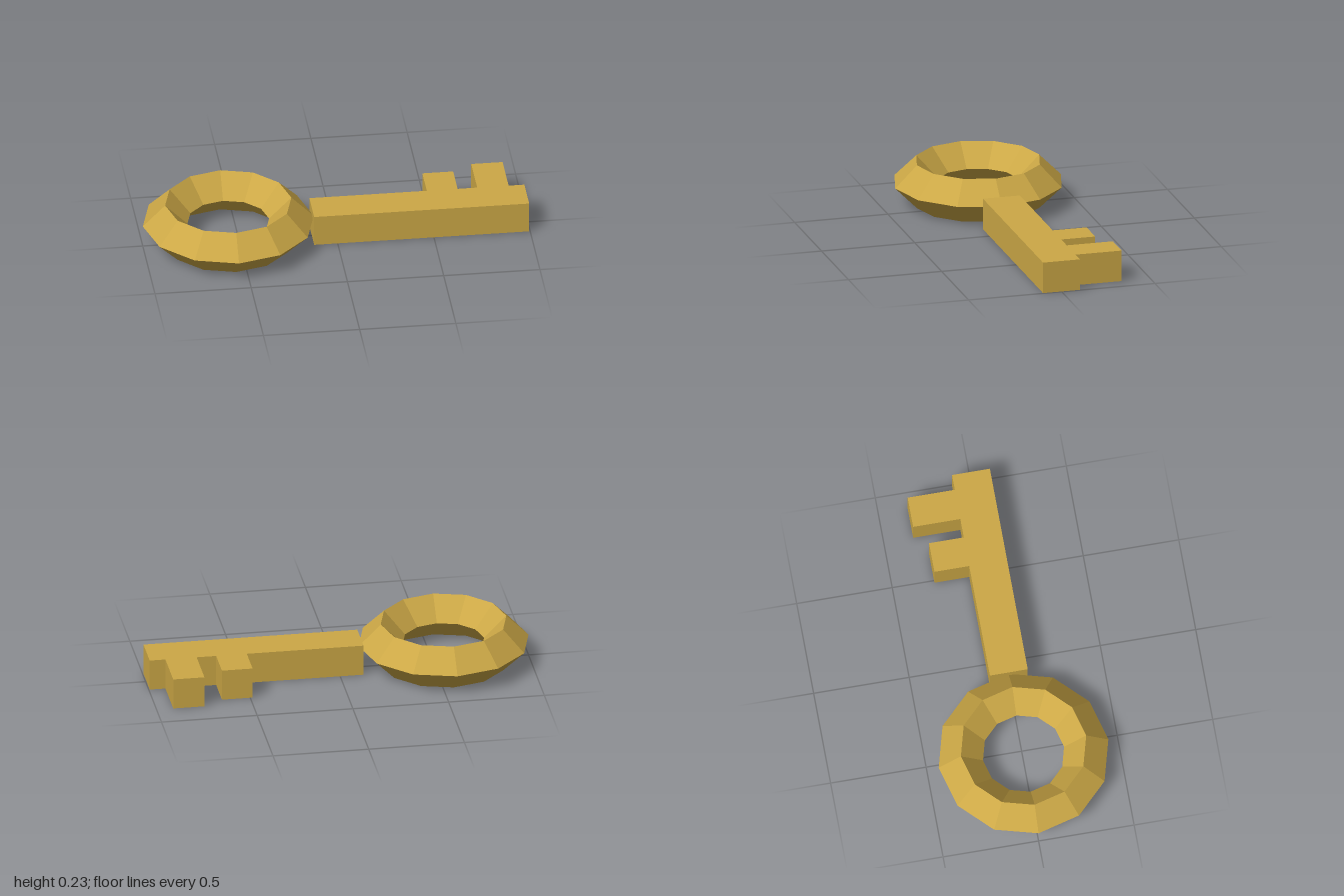
import * as THREE from 'three';

export function createModel() {
  const key = new THREE.Group();
  key.name = 'key';
  const gold = new THREE.MeshStandardMaterial({ color: 0xcca846 });
  gold.name = 'gold';
  gold.flatShading = true;

  // Ring handle: diamond cross-section swept around twelve sides
  const ring = new THREE.Mesh(new THREE.TorusGeometry(0.328, 0.116, 4, 12), gold);
  ring.name = 'ringHandle';
  ring.geometry.rotateX(-Math.PI / 2);
  ring.position.set(-0.556, 0.116, 0);
  key.add(ring);

  // Shaft and its two teeth: one outline, extruded upwards (outline y points to -z)
  const outline = new THREE.Shape([
    [-0.122, -0.099], [0.995, -0.099], [0.995, 0.099],
    [0.913, 0.099], [0.913, 0.346], [0.75, 0.346], [0.75, 0.099],
    [0.648, 0.099], [0.648, 0.281], [0.488, 0.281], [0.488, 0.099],
    [-0.122, 0.099],
  ].map(([x, y]) => new THREE.Vector2(x, y)));
  const shaft = new THREE.Mesh(
    new THREE.ExtrudeGeometry(outline, { depth: 0.165, bevelEnabled: false }), gold);
  shaft.name = 'shaftWithTeeth';
  shaft.geometry.rotateX(-Math.PI / 2);
  key.add(shaft);

  return key;
}
